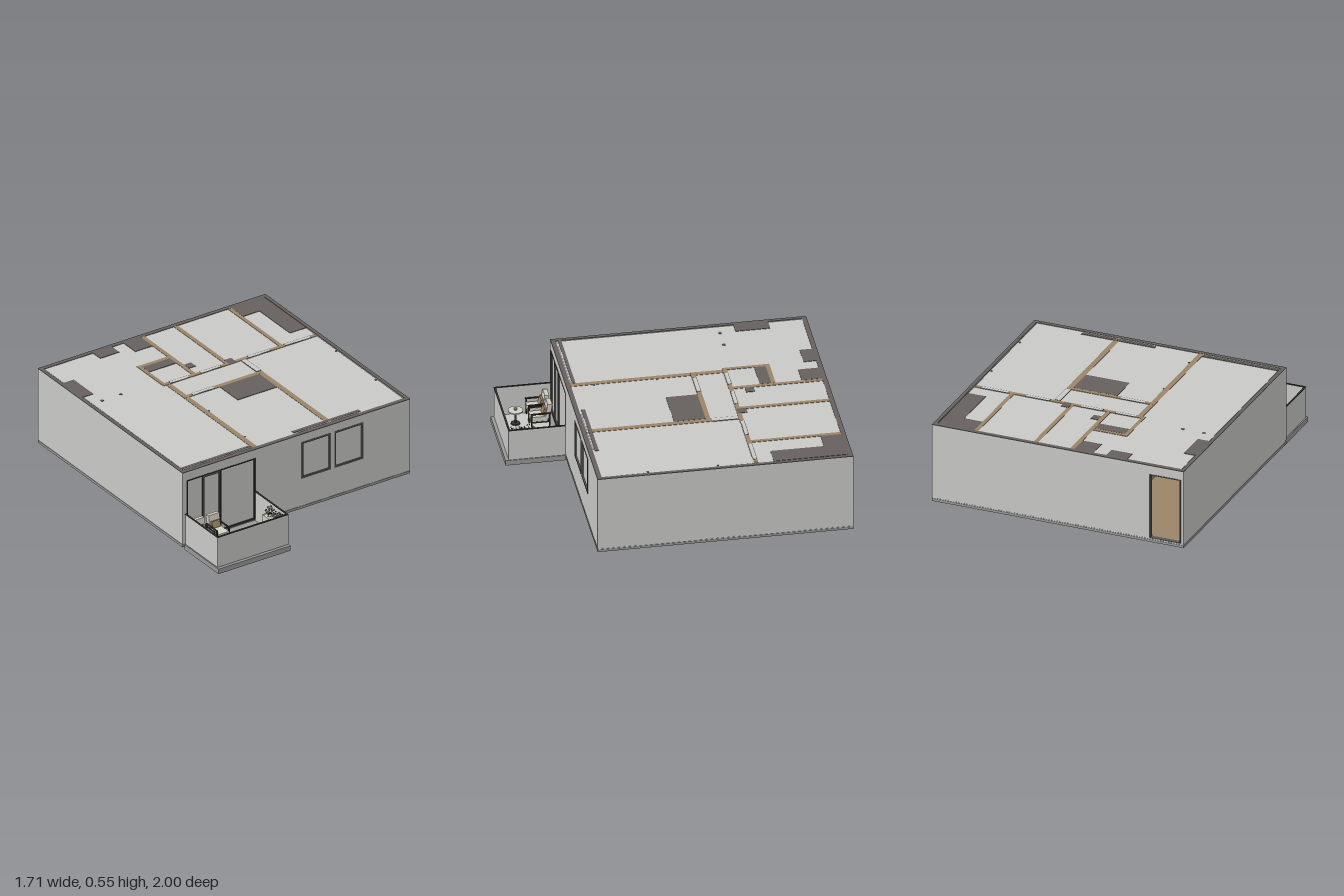
import * as THREE from 'three';

const mat = (name, color, side = THREE.FrontSide) => {
  const m = new THREE.MeshStandardMaterial({ color, side });
  m.name = name;
  return m;
};

export function createModel() {
  const M = {
    plaster: mat('light plaster', 0xc9c9c7),
    cut: mat('dark wall cap', 0x66615d),
    wood: mat('brown wood', 0x9c8568),
    slab: mat('grey concrete', 0x999999),
    black: mat('dark metal', 0x353733),
    frame: mat('window frame grey', 0x5c5a58),
    fabric: mat('cream fabric', 0xd3cfc3),
    white: mat('white trim', 0xdedede),
  };
  const root = new THREE.Group();
  const add = (name, geo, m, parent = root) => {
    const mesh = new THREE.Mesh(geo, m);
    mesh.name = name;
    parent.add(mesh);
    return mesh;
  };
  // box given by its two limits on each axis
  const box = (name, m, x0, x1, y0, y1, z0, z1, parent = root) => {
    const mesh = add(name, new THREE.BoxGeometry(x1 - x0, y1 - y0, z1 - z0), m, parent);
    mesh.position.set((x0 + x1) / 2, (y0 + y1) / 2, (z0 + z1) / 2);
    return mesh;
  };
  const cyl = (name, m, r0, r1, h, x, y, z, parent = root) => {
    const mesh = add(name, new THREE.CylinderGeometry(r0, r1, h, 24), m, parent);
    mesh.position.set(x, y, z);
    return mesh;
  };
  const rectPath = (P, x0, x1, y0, y1) => {
    const p = new P();
    p.moveTo(x0, y0);
    p.lineTo(x1, y0);
    p.lineTo(x1, y1);
    p.lineTo(x0, y1);
    p.closePath();
    return p;
  };
  // upright panel in the xy plane with rectangular holes
  const panel = (name, m, r, holes, z0, z1) => {
    const s = rectPath(THREE.Shape, ...r);
    holes.forEach((h) => s.holes.push(rectPath(THREE.Path, ...h)));
    const mesh = add(name, new THREE.ExtrudeGeometry(s, { depth: z1 - z0, bevelEnabled: false }), m);
    mesh.position.z = z0;
  };
  const X = 0.855, ZB = -1, ZF = 0.62, Y0 = 0.045, YT = 0.55, YW = 0.546, T = 0.03;

  // foundation and floor
  box('foundationSlab', M.slab, -X, X, 0.02, 0.037, ZB, ZF);
  box('floorScreed', M.plaster, -X + 0.003, X - 0.003, 0.037, Y0 - 0.002, ZB + 0.003, ZF - 0.003);
  box('woodFloor', M.wood, -X + T, X - T, Y0 - 0.002, Y0 + 0.002, ZB + 0.005, ZF - T);

  // outer walls
  const windows = [[0.04, 0.257, 0.233, 0.492], [0.285, 0.502, 0.233, 0.492]];
  const balconyOpening = [-0.825, -0.305, Y0 + 0.005, 0.488];
  const door = [-0.835, -0.62, Y0 + 0.003, 0.49];
  panel('frontWall', M.plaster, [-X, X, Y0, YW], [...windows, balconyOpening], ZF - T, ZF);
  panel('backWall', M.plaster, [-X, X, Y0, YW], [door], ZB, ZB + T);
  for (const s of [-1, 1]) {
    const a = s * X, b = s * (X - T + 0.005);
    box('sideWall', M.plaster, Math.min(a, b), Math.max(a, b), Y0, YW, ZB + T, ZF - T);
    box('sideWallCap', M.cut, Math.min(a, b), Math.max(a, b), YW, YT, ZB + T, ZF - T);
  }
  box('backWallCap', M.cut, -X, X, YW, YT, ZB, ZB + T);
  box('frontWallCap', M.cut, -X, X, YW, YT, ZF - T, ZF);

  // windows: dark frame around a plain pane
  for (const [x0, x1, y0, y1] of windows) {
    const f = 0.012;
    panel('windowFrame', M.frame, [x0, x1, y0, y1], [[x0 + f, x1 - f, y0 + f, y1 - f]], ZF - 0.022, ZF + 0.002);
    box('windowPane', M.plaster, x0 + f, x1 - f, y0 + f, y1 - f, ZF - 0.014, ZF - 0.008);
  }

  // balcony glazing with a door
  {
    const [x0, x1, y0, y1] = balconyOpening;
    panel('balconyFrame', M.black, balconyOpening, [
      [x0 + 0.01, -0.705, y0 + 0.01, y1 - 0.008],
      [-0.698, -0.572, y0 + 0.01, y1 - 0.008],
      [-0.565, x1 - 0.01, y0 + 0.01, y1 - 0.008],
    ], ZF - 0.022, ZF + 0.002);
    box('balconyPane', M.plaster, x0, x1, y0, y1, ZF - 0.014, ZF - 0.008);
    panel('balconyDoorFrame', M.frame, [-0.698, -0.572, y0 + 0.01, y1 - 0.008],
      [[-0.69, -0.58, y0 + 0.018, y1 - 0.02]], ZF - 0.01, ZF);
  }

  // entrance: frame and open wooden leaf against the side wall
  panel('entranceFrame', M.frame, door,
    [[door[0] + 0.008, door[1] - 0.008, door[2] + 0.002, door[3] - 0.008]], ZB - 0.001, ZB + T);
  box('entranceLeaf', M.wood, -0.826, -0.816, Y0, 0.48, ZB + T, -0.76);
  for (let i = 1; i < 5; i++) {
    box('leafGroove', M.black, -0.816, -0.8155, Y0 + i * 0.085, Y0 + i * 0.085 + 0.003, ZB + 0.04, -0.77);
  }

  // ceiling
  box('ceiling', M.plaster, -X + T, X - T, 0.53, 0.547, ZB + T, ZF - T);

  // inner walls [x0, x1, z0, z1]
  const innerWalls = [
    [-0.31, -0.275, -0.38, 0.59], [0.252, 0.288, -0.17, 0.59],
    [-0.1, -0.072, -0.97, -0.4], [0.147, 0.176, -0.97, -0.4], [0.553, 0.58, -0.97, -0.4],
    [-0.33, -0.1, -0.675, -0.648], [-0.33, -0.305, -0.648, -0.4],
    [-0.31, 0.288, -0.2, -0.17],
    [-0.33, 0.82, -0.403, -0.375],
  ];
  innerWalls.forEach(([x0, x1, z0, z1], i) =>
    box('innerWall', M.wood, x0, x1, Y0, 0.549 + i * 0.0001, z0, z1));

  // door heads: pale strip with a thin dark edge
  const heads = [
    [-0.275, -0.13, -0.404, -0.376], [-0.045, 0.108, -0.404, -0.376], [0.315, 0.482, -0.404, -0.376],
    [0.59, 0.785, -0.404, -0.376], [-0.245, -0.075, -0.201, -0.171], [0.252, 0.29, -0.375, -0.2],
  ];
  for (const [x0, x1, z0, z1] of heads) {
    box('doorHeadEdge', M.cut, x0, x1, 0.545, 0.5505, z0, z1);
    box('doorHead', M.plaster, x0 + 0.003, x1 - 0.003, 0.546, 0.551, z0 + 0.004, z1 - 0.004);
  }

  // shafts, cupboards and lintels cut at ceiling level
  const shafts = [
    [-0.46, -0.317, -0.97, -0.89], [-0.23, -0.1, -0.97, -0.84], [-0.83, -0.75, -0.755, -0.535],
    [0.58, 0.826, -0.97, -0.84], [0.703, 0.826, -0.84, -0.5], [-0.305, -0.1, -0.648, -0.575],
    [-0.072, -0.02, -0.53, -0.475], [0.167, 0.22, -0.44, -0.38], [-0.045, 0.252, -0.17, 0.03],
    [-0.83, -0.31, 0.555, 0.576], [0.01, 0.51, 0.552, 0.576],
  ];
  for (const [x0, x1, z0, z1] of shafts) box('shaftCap', M.cut, x0, x1, 0.545, YT, z0, z1);
  box('curtainRail', M.white, 0.04, 0.49, 0.546, 0.5505, 0.579, 0.585);
  box('curtainRail', M.white, -0.82, -0.31, 0.546, 0.5505, 0.579, 0.585);

  // pipes and small fittings
  for (const [x, z, r] of [[-0.75, -0.437, 0.011], [-0.608, -0.437, 0.011], [-0.27, 0.045, 0.006],
    [-0.27, 0.445, 0.006], [0.815, -0.15, 0.007], [0.815, 0.295, 0.007]]) {
    cyl('ceilingPipe', M.cut, r, r, 0.01, x, 0.545, z);
  }

  // balcony slab and parapet
  const balcony = new THREE.Group();
  balcony.name = 'balcony';
  root.add(balcony);
  box('balconySlab', M.slab, -0.84, -0.3, 0, 0.035, ZF, 1, balcony);
  box('balconyFloor', M.slab, -0.832, -0.304, 0.035, 0.045, ZF, 0.978, balcony);
  for (const [x0, x1, z0, z1] of [[-0.834, -0.826, ZF, 0.98], [-0.31, -0.302, ZF, 0.98], [-0.826, -0.31, 0.97, 0.98]]) {
    box('parapet', M.plaster, x0, x1, 0.04, 0.246, z0, z1, balcony);
    box('parapetRail', M.black, x0 - 0.001, x1 + 0.001, 0.246, 0.252, z0, z1 + 0.001, balcony);
  }
  box('rug', M.plaster, -0.824, -0.59, 0.045, 0.049, 0.65, 0.945, balcony);

  // two armchairs facing the view
  for (const x of [-0.767, -0.657]) {
    const c = new THREE.Group();
    c.name = 'armchair';
    c.position.set(x, 0.049, 0.72);
    balcony.add(c);
    box('seatCushion', M.fabric, -0.04, 0.04, 0.055, 0.088, -0.045, 0.065, c);
    box('seatBase', M.black, -0.042, 0.042, 0.045, 0.055, -0.06, 0.062, c);
    const back = box('backCushion', M.fabric, -0.04, 0.04, 0.07, 0.172, -0.065, -0.035, c);
    back.rotation.x = -0.15;
    const pillow = box('pillow', M.wood, -0.03, 0.03, 0.09, 0.135, -0.034, -0.016, c);
    pillow.rotation.x = -0.3;
    for (const s of [-1, 1]) {
      box('armRest', M.black, s * 0.045 - 0.004, s * 0.045 + 0.004, 0.108, 0.116, -0.06, 0.065, c);
      for (const z of [-0.056, 0.058]) {
        box('chairLeg', M.black, s * 0.045 - 0.004, s * 0.045 + 0.004, 0, 0.112, z - 0.004, z + 0.004, c);
      }
    }
  }

  // round table
  cyl('tableTop', M.fabric, 0.047, 0.047, 0.008, -0.71, 0.143, 0.865, balcony);
  cyl('tableStem', M.black, 0.007, 0.007, 0.09, -0.71, 0.097, 0.865, balcony);
  cyl('tableFoot', M.black, 0.028, 0.03, 0.006, -0.71, 0.052, 0.865, balcony);
  cyl('tableBowl', M.slab, 0.012, 0.008, 0.014, -0.71, 0.154, 0.865, balcony);

  // planter with scattered blossoms
  box('planter', M.fabric, -0.378, -0.315, 0.045, 0.19, 0.8, 0.962, balcony);
  let seed = 7;
  const rnd = () => (seed = (seed * 16807) % 2147483647) / 2147483647;
  const leaf = new THREE.IcosahedronGeometry(0.008, 0);
  const tones = [M.white, M.wood, M.white, M.black];
  for (let i = 0; i < 90; i++) {
    const l = add('blossom', leaf, tones[i % 4], balcony);
    l.position.set(-0.374 + rnd() * 0.056, 0.19 + rnd() * 0.05, 0.806 + rnd() * 0.15);
    l.rotation.set(rnd() * 3, rnd() * 3, 0);
    l.scale.set(1, 0.5, 0.7);
  }
  return root;
}
